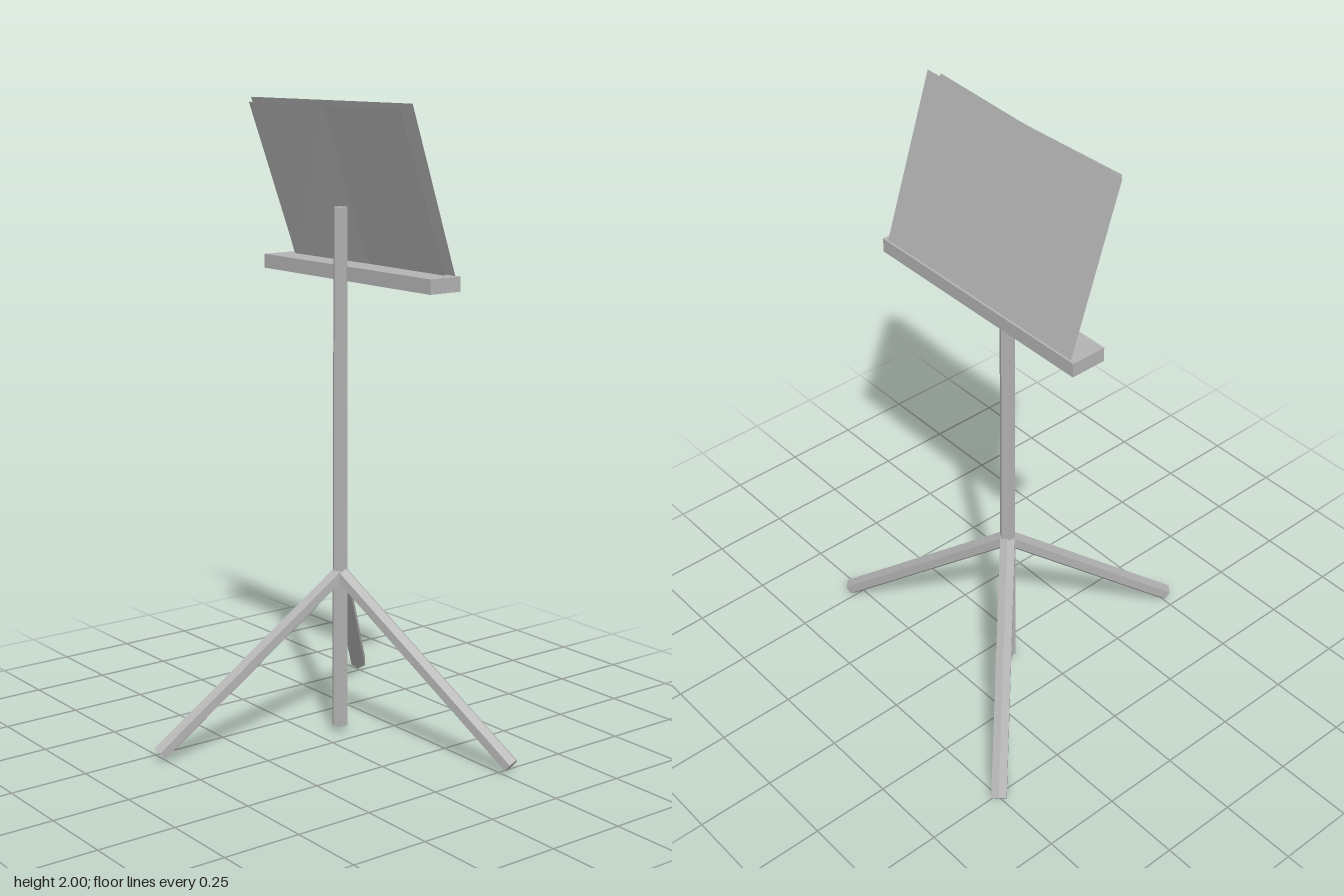
import * as THREE from 'three';

const grey = new THREE.MeshStandardMaterial({ color: 0xb2b2b2, flatShading: true, side: THREE.DoubleSide });
grey.name = 'grey metal';

const POLE_X = -0.071, POLE_Z = -0.083;

function add(group, name, geometry) {
  const mesh = new THREE.Mesh(geometry, grey);
  mesh.name = name;
  group.add(mesh);
  return mesh;
}

// Thin sheet between a bottom row and a top row of points
function sheet(bottom, top) {
  const n = bottom.length, index = [];
  for (let i = 0; i < n - 1; i++) {
    index.push(i, i + 1, n + i + 1, i, n + i + 1, n + i);
  }
  const g = new THREE.BufferGeometry();
  g.setAttribute('position', new THREE.Float32BufferAttribute([...bottom, ...top].flat(), 3));
  g.setIndex(index);
  const flat = g.toNonIndexed();
  flat.computeVertexNormals();
  return flat;
}

// Six-sided rod from a to b with a ridge along its top
function rod(group, name, a, b, radius) {
  const g = new THREE.CylinderGeometry(radius, radius, a.distanceTo(b), 6);
  g.rotateX(Math.PI / 2);
  const mesh = add(group, name, g);
  mesh.position.copy(a).lerp(b, 0.5);
  mesh.lookAt(b);
}

export function createModel() {
  const model = new THREE.Group();
  model.name = 'musicStand';

  // Tapered hexagonal pole
  const pole = add(model, 'pole', new THREE.CylinderGeometry(0.0225, 0.0265, 1.655, 6));
  pole.position.set(POLE_X, 0.8525, POLE_Z);

  // Three splayed legs
  const hub = new THREE.Vector3(POLE_X, 0.53, POLE_Z);
  const feet = { leftLeg: [0.523, -0.28], rightLeg: [-0.527, -0.515], frontLeg: [-0.204, 0.513] };
  for (const [name, [x, z]] of Object.entries(feet)) {
    rod(model, name, hub, new THREE.Vector3(x, 0.024, z), 0.027);
  }

  // Ledge under the desk
  const ledge = add(model, 'ledge', new THREE.BoxGeometry(0.828, 0.045, 0.115));
  ledge.position.set(-0.07, 1.4775, -0.1495);

  // Tilted desk sheet
  add(model, 'desk', sheet(
    [[-0.468, 1.497, -0.201], [0.328, 1.497, -0.201]],
    [[-0.468, 2, -0.033], [0.328, 2, -0.033]]));

  // Shallow folded panels beside a narrow spine
  const xs = [-0.437, -0.075, -0.064, 0.307];
  const rise = [0.014, 0, 0, 0.014];
  add(model, 'foldedPanels', sheet(
    xs.map((x, i) => [x, 1.497, -0.19 + rise[i] * 0.6]),
    xs.map((x, i) => [x, 1.986, -0.017 + rise[i]])));

  return model;
}
